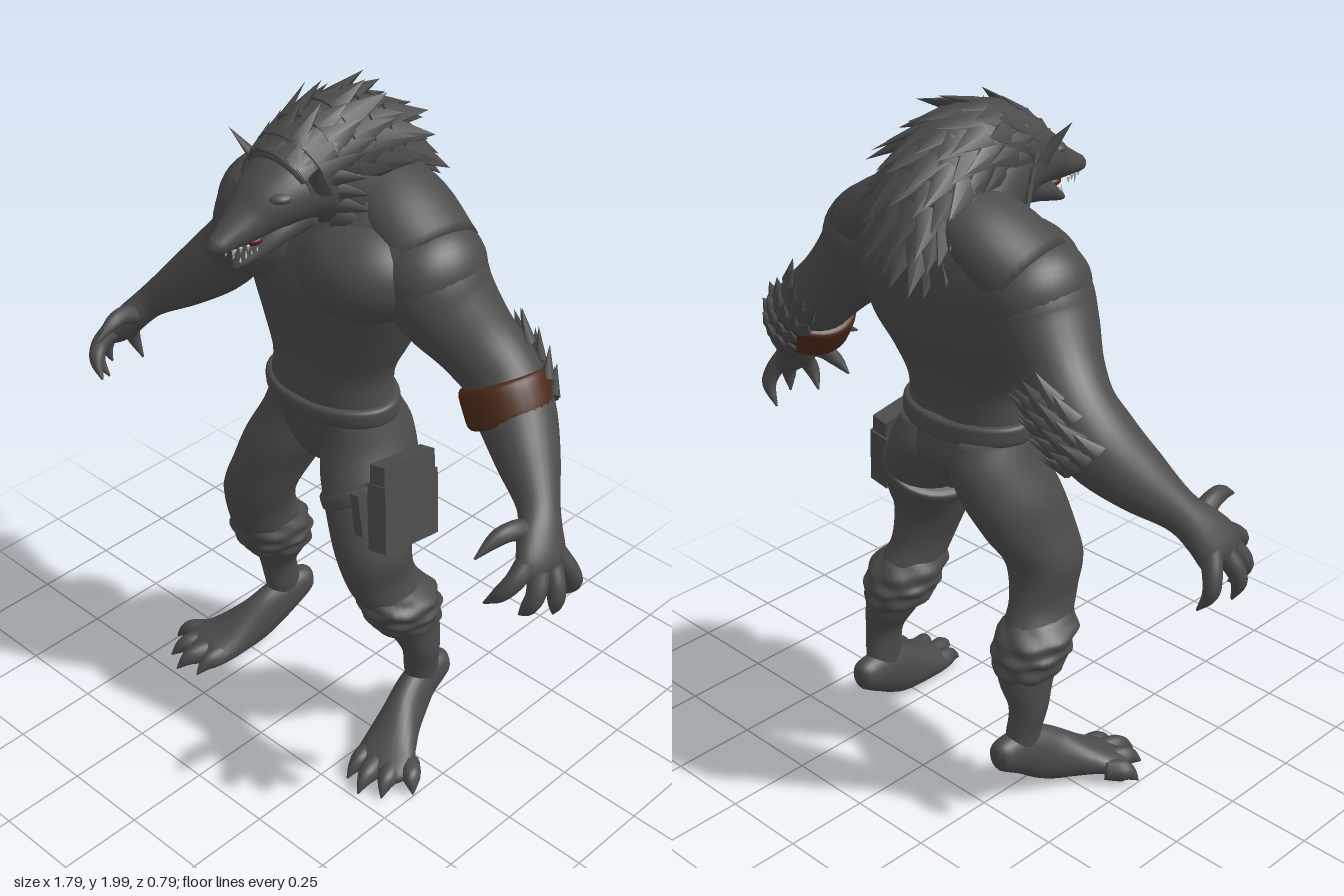
import * as THREE from 'three';
import { mergeGeometries } from 'three/addons/utils/BufferGeometryUtils.js';

const V = (x, y, z) => new THREE.Vector3(x, y, z);
const X = V(1, 0, 0), Y = V(0, 1, 0), Z = V(0, 0, 1), DOWN = V(0, -1, 0);

const paint = (name, color) => {
  const m = new THREE.MeshStandardMaterial({ color });
  m.name = name;
  return m;
};

// Sampler of a tube surface through sections [x, y, z, radiusAlongRef, radiusAcross]
function sweep(sections, ref, fixed) {
  const path = new THREE.CatmullRomCurve3(sections.map(s => V(s[0], s[1], s[2])), false, 'catmullrom', 0.5);
  const radii = new THREE.CatmullRomCurve3(sections.map(s => V(s[3], s[4], 0)), false, 'catmullrom', 0.5);
  return (u, a, k = 1) => {
    const c = path.getPoint(u), r = radii.getPoint(u);
    const T = fixed ? fixed.clone().normalize() : path.getTangent(u);
    const A = ref.clone().addScaledVector(T, -ref.dot(T)).normalize();
    const B = T.clone().cross(A);
    const out = A.clone().multiplyScalar(Math.cos(a)).addScaledVector(B, Math.sin(a));
    const p = c.clone().addScaledVector(A, Math.cos(a) * r.x * k).addScaledVector(B, Math.sin(a) * r.y * k);
    return { p, c, T, out };
  };
}

// Closed smooth skin over a sweep; shape(u, angle) scales the radius
function loft(sections, ref, fixed, shape = () => 1, n = 28, sub = 5) {
  const at = sweep(sections, ref, fixed), rows = (sections.length - 1) * sub;
  const pos = [], index = [];
  for (let i = 0; i <= rows; i++) for (let j = 0; j < n; j++) {
    const a = j / n * Math.PI * 2;
    pos.push(...at(i / rows, a, shape(i / rows, a)).p.toArray());
  }
  for (let i = 0; i < rows; i++) for (let j = 0; j < n; j++) {
    const a = i * n + j, b = i * n + (j + 1) % n;
    index.push(a, b, b + n, a, b + n, a + n);
  }
  const s = pos.length / 3;
  pos.push(...at(0, 0).c.toArray(), ...at(1, 0).c.toArray());
  for (let j = 0; j < n; j++) {
    const k = (j + 1) % n;
    index.push(s, k, j, s + 1, rows * n + j, rows * n + k);
  }
  const g = new THREE.BufferGeometry();
  g.setAttribute('position', new THREE.Float32BufferAttribute(pos, 3));
  g.setIndex(index);
  g.computeVertexNormals();
  return g;
}

// Flat pointed lock of fur, or a round spike when thick equals width
function spike(base, dir, across, length, width, thick) {
  const d = dir.clone().normalize();
  const s = across.clone().addScaledVector(d, -across.dot(d)).normalize();
  const m = new THREE.Matrix4().makeBasis(s.clone().multiplyScalar(width), d.clone().multiplyScalar(length), s.clone().cross(d).multiplyScalar(thick));
  m.setPosition(base);
  return new THREE.ConeGeometry(1, 1, 6).translate(0, 0.5, 0).applyMatrix4(m);
}

const ball = (x, y, z, rx, ry, rz) => new THREE.SphereGeometry(1, 32, 20).scale(rx, ry, rz).translate(x, y, z);

export function createModel() {
  const model = new THREE.Group();
  const grey = paint('charcoal', 0x4a4a4a), brown = paint('leather brown', 0x4b2919);
  const red = paint('mouth red', 0x5c1a11), ivory = paint('tooth ivory', 0xc8c2b6);
  const add = (name, geo, mat = grey) => {
    const m = new THREE.Mesh(geo, mat);
    m.name = name;
    model.add(m);
    return m;
  };
  const bump = (a, at, w) => Math.exp(-(((a - at) / w) ** 2));

  // Torso with a spine groove and a chest line
  add('torso', loft([
    [0, 0.885, -0.06, 0.02, 0.07], [0, 0.94, -0.06, 0.1, 0.115], [0, 1.01, -0.065, 0.185, 0.142], [0, 1.1, -0.05, 0.197, 0.135],
    [0, 1.2, -0.055, 0.189, 0.14], [0, 1.3, -0.068, 0.23, 0.163], [0, 1.4, -0.085, 0.272, 0.198], [0, 1.5, -0.09, 0.302, 0.217],
    [0, 1.59, -0.105, 0.31, 0.208], [0, 1.67, -0.12, 0.28, 0.18], [0, 1.74, -0.125, 0.2, 0.14], [0, 1.8, -0.12, 0.1, 0.09]], X, Y,
  (u, a) => 1 - 0.09 * bump(a, Math.PI / 2, 0.22) * Math.sin(Math.PI * u) - 0.03 * bump(a, Math.PI * 1.5, 0.12), 48));
  add('belt', loft([[0, 1.065, -0.053, 0.19, 0.13], [0, 1.075, -0.053, 0.21, 0.148], [0, 1.105, -0.05, 0.214, 0.151],
    [0, 1.125, -0.05, 0.208, 0.146], [0, 1.13, -0.05, 0.18, 0.12]], X, Y, undefined, 40));

  // Head, jaw and mouth
  add('head', loft([
    [0, 1.60, -0.13, 0.2, 0.13], [0, 1.71, -0.08, 0.165, 0.15], [0, 1.77, 0.0, 0.14, 0.135], [0, 1.785, 0.1, 0.122, 0.105],
    [0, 1.767, 0.19, 0.098, 0.08], [0, 1.736, 0.26, 0.066, 0.055], [0, 1.712, 0.33, 0.04, 0.034], [0, 1.7, 0.37, 0.027, 0.022],
    [0, 1.695, 0.387, 0.01, 0.008]], X));
  add('nose', ball(0, 1.71, 0.365, 0.022, 0.016, 0.018));
  add('jaw', loft([[0, 1.715, 0.1, 0.09, 0.06], [0, 1.68, 0.19, 0.068, 0.04], [0, 1.648, 0.25, 0.044, 0.024],
    [0, 1.627, 0.29, 0.024, 0.013], [0, 1.615, 0.307, 0.006, 0.004]], X));
  add('mouth', ball(0, 1.682, 0.248, 0.036, 0.017, 0.036), red);
  const teeth = [], ears = [], brows = [];
  for (const s of [1, -1]) {
    for (let i = 0; i < 4; i++) {
      teeth.push(spike(V(s * (0.018 + i * 0.006), 1.688, 0.35 - i * 0.02), DOWN, X, i === 1 ? 0.03 : 0.017, 0.005, 0.005));
      teeth.push(spike(V(s * (0.012 + i * 0.007), 1.632 + i * 0.008, 0.295 - i * 0.013), Y, X, i === 1 ? 0.028 : 0.016, 0.004, 0.004));
    }
    ears.push(spike(V(s * 0.1, 1.8, 0.11), V(s * 0.5, 0.85, 0.45), V(1, 0, s * -0.6), 0.13, 0.045, 0.02));
    brows.push(ball(s * 0.052, 1.8, 0.2, 0.042, 0.018, 0.04));
  }
  add('teeth', mergeGeometries(teeth), ivory);
  add('ears', mergeGeometries(ears));
  add('brows', mergeGeometries(brows));

  // Mane: a core under staggered rows of broad pointed locks
  const maneRows = [[0, 1.8, 0.15, 0.1, 0.075], [0, 1.828, 0.06, 0.12, 0.11], [0, 1.83, -0.05, 0.13, 0.137],
    [0, 1.79, -0.14, 0.137, 0.135], [0, 1.73, -0.2, 0.132, 0.115], [0, 1.66, -0.235, 0.105, 0.08], [0, 1.59, -0.265, 0.055, 0.045]];
  add('maneCore', loft(maneRows, X));
  const mane = sweep(maneRows, X), locks = [];
  for (let r = 0; r < 11; r++) for (let j = -4; j <= 4; j++) {
    const u = 0.02 + r / 11 * 0.92, t = (j + (r % 2) * 0.5) * 0.4;
    const { p, T, out } = mane(u, -Math.PI / 2 + t, 0.96);
    const lift = 0.27 + 0.14 * Math.sin(r * 2.3 + j * 1.7);
    const dir = T.clone().addScaledVector(out, lift);
    locks.push(spike(p, dir, T.clone().cross(out), 0.125 + 0.02 * Math.sin(r * 3.1 + j * 5.3), 0.047, 0.013));
  }
  // Cheek fur
  for (const s of [1, -1]) for (let i = 0; i < 4; i++)
    locks.push(spike(V(s * 0.105, 1.83 - i * 0.04, 0.09 - i * 0.012), V(s * 0.55, -0.1 - i * 0.1, -0.7), Y, 0.11, 0.035, 0.014));
  add('mane', mergeGeometries(locks));

  for (const s of [1, -1]) {
    const side = s > 0 ? 'left' : 'right';
    const flip = list => list.map(([x, ...rest]) => [x * s, ...rest]);

    // Chest and shoulder muscle
    add(side + 'Pectoral', ball(s * 0.135, 1.545, -0.035, 0.2, 0.145, 0.178));
    add(side + 'Shoulder', ball(s * 0.293, 1.56, -0.11, 0.13, 0.132, 0.16));
    add(side + 'Trapezius', loft(flip([[0.05, 1.72, -0.15, 0.11, 0.09], [0.17, 1.68, -0.14, 0.14, 0.09], [0.29, 1.6, -0.12, 0.14, 0.1]]), Z));

    // Arm down to the palm
    const armRows = flip([
      [0.12, 1.59, -0.1, 0.08, 0.08], [0.2, 1.575, -0.1, 0.14, 0.13], [0.285, 1.55, -0.107, 0.157, 0.132], [0.342, 1.475, -0.12, 0.146, 0.122],
      [0.42, 1.385, -0.148, 0.118, 0.103], [0.49, 1.31, -0.168, 0.11, 0.1], [0.56, 1.23, -0.15, 0.112, 0.098], [0.65, 1.145, -0.1, 0.09, 0.077],
      [0.735, 1.07, -0.045, 0.06, 0.05], [0.78, 1.015, -0.003, 0.072, 0.044], [0.812, 0.965, 0.025, 0.082, 0.038], [0.825, 0.935, 0.033, 0.06, 0.022]]);
    add(side + 'Arm', loft(armRows, Z));

    // Clawed fingers, thumb first
    const fingers = [
      [[0.752, 1.04, 0.02], [0.745, 1.06, 0.075], [0.735, 1.055, 0.125], [0.725, 1.025, 0.19]],
      [[0.8, 0.985, 0.075], [0.8, 0.955, 0.12], [0.78, 0.92, 0.15], [0.742, 0.88, 0.165]],
      [[0.825, 0.965, 0.055], [0.845, 0.92, 0.085], [0.835, 0.88, 0.1], [0.8, 0.832, 0.09]],
      [[0.835, 0.965, 0.015], [0.865, 0.92, 0.03], [0.872, 0.88, 0.036], [0.86, 0.832, 0.028]],
      [[0.82, 0.98, -0.02], [0.85, 0.925, -0.045], [0.855, 0.88, -0.058], [0.82, 0.822, -0.062]]];
    const girth = [0.03, 0.026, 0.021, 0.003];
    add(side + 'Fingers', mergeGeometries(fingers.map(f =>
      loft(flip(f.map((p, i) => [...p, girth[i], girth[i]])), X, undefined, undefined, 12))));

    // Elbow fur lying up the back of the arm
    const arm = sweep(armRows, Z), tufts = [];
    for (let r = 0; r < 4; r++) for (let k = -2; k <= 2; k++) {
      const { p, T, out } = arm(0.54 - r * 0.035, Math.PI + (k + (r % 2) * 0.5) * 0.33, 0.98);
      tufts.push(spike(p, out.clone().multiplyScalar(0.42).sub(T), T.clone().cross(out), 0.09, 0.034, 0.018));
    }
    add(side + 'ElbowFur', mergeGeometries(tufts));

    // Trouser leg and shin
    add(side + 'Leg', loft(flip([
      [0.1, 1.08, -0.06, 0.09, 0.125], [0.115, 1.0, -0.07, 0.108, 0.147], [0.15, 0.9, -0.045, 0.117, 0.157], [0.188, 0.8, -0.015, 0.106, 0.146],
      [0.222, 0.7, 0.015, 0.1, 0.12], [0.237, 0.6, 0.0, 0.076, 0.115], [0.25, 0.53, -0.035, 0.08, 0.115], [0.262, 0.46, -0.07, 0.085, 0.11],
      [0.272, 0.38, -0.105, 0.073, 0.085], [0.295, 0.3, -0.118, 0.053, 0.06], [0.29, 0.22, -0.13, 0.042, 0.06], [0.288, 0.14, -0.14, 0.038, 0.055]]), X, DOWN));
    add(side + 'Cuff', loft(flip([
      [0.25, 0.555, -0.025, 0.072, 0.105], [0.254, 0.53, -0.038, 0.088, 0.12], [0.26, 0.505, -0.05, 0.105, 0.128], [0.26, 0.48, -0.062, 0.1, 0.122],
      [0.261, 0.46, -0.07, 0.106, 0.125], [0.262, 0.44, -0.077, 0.097, 0.115], [0.263, 0.415, -0.085, 0.096, 0.112], [0.265, 0.395, -0.095, 0.08, 0.095]]),
    X, DOWN, (u, a) => 1 + 0.03 * Math.sin(a * 7 + u * 14), 40));

    // Raised heel, foot and clawed toes
    add(side + 'Foot', loft(flip([
      [0.283, 0.175, -0.243, 0.012, 0.015], [0.284, 0.172, -0.215, 0.04, 0.048], [0.29, 0.145, -0.12, 0.047, 0.075], [0.312, 0.095, -0.03, 0.058, 0.076],
      [0.345, 0.06, 0.06, 0.08, 0.052], [0.372, 0.043, 0.12, 0.092, 0.038], [0.38, 0.035, 0.16, 0.07, 0.026]]), X));
    const toes = [[0.31, 0.08, 0.32, 0.215], [0.35, 0.11, 0.385, 0.238], [0.395, 0.1, 0.445, 0.205], [0.425, 0.07, 0.5, 0.13]];
    add(side + 'Toes', mergeGeometries(toes.map(([x, z, tx, tz]) => loft(flip([
      [x, 0.045, z, 0.034, 0.032], [x * 0.5 + tx * 0.5, 0.042, z * 0.5 + tz * 0.5, 0.03, 0.032],
      [x * 0.25 + tx * 0.75, 0.034, z * 0.25 + tz * 0.75, 0.019, 0.022], [tx, 0.012, tz, 0.002, 0.002]]), X, undefined, undefined, 12))));
  }

  // Leather band below the left elbow
  add('armBand', loft([[0.494, 1.3, -0.162, 0.1, 0.095], [0.5, 1.29, -0.162, 0.12, 0.114], [0.525, 1.252, -0.155, 0.122, 0.117],
    [0.55, 1.212, -0.148, 0.119, 0.113], [0.555, 1.205, -0.146, 0.1, 0.09]], Z, V(0.5, -0.85, 0.1)), brown);

  // Left thigh strap, holster and small clip
  add('thighStrap', loft([[0.155, 0.89, -0.04, 0.115, 0.14], [0.157, 0.883, -0.038, 0.133, 0.161], [0.172, 0.855, -0.033, 0.133, 0.16],
    [0.174, 0.848, -0.03, 0.115, 0.14]], X, V(0.51, -0.86, 0)));
  const holster = new THREE.Group();
  holster.name = 'holster';
  holster.position.set(0.308, 0.89, -0.008);
  holster.rotation.set(-0.17, 0, 0.2);
  for (const [name, w, h, d, y] of [['holsterBody', 0.052, 0.25, 0.205, 0], ['holsterFlap', 0.064, 0.19, 0.215, -0.025]]) {
    const m = new THREE.Mesh(new THREE.BoxGeometry(w, h, d), grey);
    m.name = name;
    m.position.y = y;
    holster.add(m);
  }
  model.add(holster);
  const clip = add('strapClip', new THREE.BoxGeometry(0.03, 0.13, 0.03));
  clip.position.set(0.25, 0.87, 0.1);
  clip.rotation.z = 0.15;

  return model;
}
